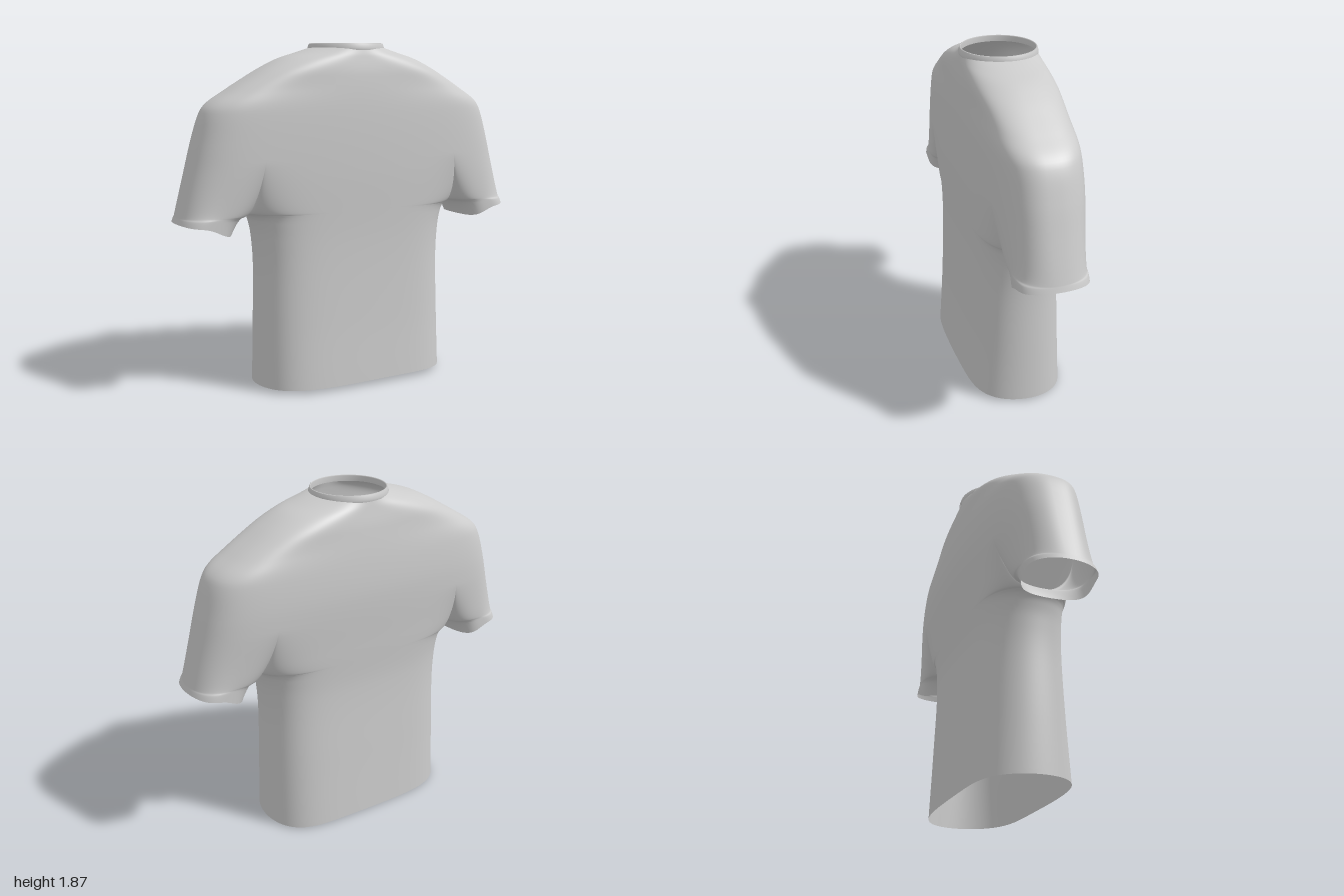
import * as THREE from 'three';
import { mergeVertices } from 'three/addons/utils/BufferGeometryUtils.js';

const { lerp, smoothstep } = THREE.MathUtils;
const ARMPIT = 0.975, SPLIT = 0.62, SLEEVE_X = 0.99, SLEEVE_DEPTH = 0.187;
const BODY_N = 56, SLEEVE_N = 28;

// Smooth curve through [position, value] pairs
function curve(pts) {
  const slope = (i) => {
    const a = pts[Math.max(i - 1, 0)], b = pts[Math.min(i + 1, pts.length - 1)];
    return (b[1] - a[1]) / (b[0] - a[0]);
  };
  return (v) => {
    let i = 0;
    while (i < pts.length - 2 && v > pts[i + 1][0]) i++;
    const [x0, y0] = pts[i], [x1, y1] = pts[i + 1], h = x1 - x0;
    const t = Math.min(1, Math.max(0, (v - x0) / h)), t2 = t * t, t3 = t2 * t;
    return (2 * t3 - 3 * t2 + 1) * y0 + (t3 - 2 * t2 + t) * h * slope(i)
      + (3 * t2 - 2 * t3) * y1 + (t3 - t2) * h * slope(i + 1);
  };
}

// Chest and back depth by height
const frontDepth = curve([[0, 0.275], [0.4, 0.25], [0.8, 0.236], [1.2, 0.241], [1.5, 0.236], [1.7, 0.222], [1.8, 0.206], [1.845, 0.195]]);
const backDepth = curve([[0, 0.268], [0.4, 0.25], [0.8, 0.237], [1.05, 0.252], [1.33, 0.27], [1.5, 0.264], [1.7, 0.24], [1.8, 0.22], [1.845, 0.21]]);
const round = (u, p, e) => Math.pow(Math.max(0, 1 - Math.pow(Math.min(1, Math.abs(u)), p)), e);

// Points across a span from +x to -x, denser at both ends
const span = (from, to, n) => Array.from({ length: n + 1 }, (_, i) =>
  lerp(from, to, (1 - Math.cos((Math.PI * i) / n)) / 2));

// Closed ring: along the front to -x, back along the rear to +x
function ring(xs, depth, height) {
  const front = xs.map((x, i) => {
    const end = i === 0 || i === xs.length - 1;
    const z = end ? 0 : depth(x, 1);
    return new THREE.Vector3(x, height(x, z), z);
  });
  const back = xs.slice(1, -1).reverse().map((x) => {
    const z = -depth(x, -1);
    return new THREE.Vector3(x, height(x, z), z);
  });
  return [...front, ...back];
}

// Skin between rings listed from bottom to top
function loft(rings, out) {
  for (let j = 0; j < rings.length - 1; j++) {
    const n = rings[j].length;
    for (let i = 0; i < n; i++) {
      const k = (i + 1) % n;
      const a = rings[j][i], b = rings[j][k], c = rings[j + 1][k], d = rings[j + 1][i];
      for (const p of [a, d, c, a, c, b]) out.push(p.x, p.y, p.z);
    }
  }
}

const torsoDepth = (y, side) => (side > 0 ? frontDepth(y) : backDepth(y));
const bodyDepth = (x, y, side, w, hw) =>
  torsoDepth(y, side) * (1 - 0.25 * (x / hw) ** 2) * round(x / w, 6, 0.5);
const sleeveDepth = (x, inner, outer) =>
  SLEEVE_DEPTH * round((2 * Math.abs(x) - inner - outer) / (outer - inner), 3, 0.5);

// Torso below the armpits
function torsoRings() {
  const side = new THREE.SplineCurve([[0.563, 0], [0.557, 0.3], [0.551, 0.65], [0.562, 0.83], [0.58, 0.92], [0.598, 0.957], [SPLIT, ARMPIT]]
    .map((p) => new THREE.Vector2(...p)));
  return Array.from({ length: 41 }, (_, j) => {
    const { x: w, y } = side.getPoint(j / 40);
    const hem = Math.max(0, 1 - y / 0.3);
    return ring(span(w, -w, BODY_N), (x, s) => bodyDepth(x, y, s, w, SLEEVE_X),
      (x, z) => y + hem * (0.012 + 0.04 * z + 0.003 * Math.sin(x * 7)));
  });
}

// Chest, shoulders and upper sleeves in one ring, pinched above the armpits
function upperRings() {
  const outline = new THREE.SplineCurve([[SLEEVE_X, ARMPIT], [0.965, 1.07], [0.93, 1.2], [0.89, 1.35], [0.845, 1.49], [0.8, 1.555], [0.7, 1.62],
    [0.6, 1.68], [0.5, 1.738], [0.4, 1.787], [0.3, 1.818], [0.205, 1.846]].map((p) => new THREE.Vector2(...p)));
  return Array.from({ length: 81 }, (_, j) => {
    const { x: hw, y } = outline.getPointAt(Math.pow(j / 80, 1.4));
    const split = (SPLIT * hw) / SLEEVE_X;
    const top = smoothstep(y, 1.62, 1.845);
    const pinch = Math.pow(1 - Math.sqrt(Math.min(1, Math.max(0, (y - ARMPIT) / 0.28))), 1.5);
    const xs = [...span(hw, split, SLEEVE_N), ...span(split, -split, BODY_N).slice(1), ...span(-split, -hw, SLEEVE_N).slice(1)];
    const depth = (x, s) => {
      const u = x / hw;
      const whole = torsoDepth(y, s) * (1 - 0.25 * (1 - top) * u * u) * round(u, lerp(10, 2, top), lerp(0.4, 0.5, top));
      const parted = Math.abs(x) < split ? bodyDepth(x, y, s, split, hw) : sleeveDepth(x, split, hw);
      return lerp(whole, parted, pinch);
    };
    return ring(xs, depth, () => y);
  });
}

// Sleeve end, from its wavy hem up to the armpit
function sleeveRings(side) {
  return Array.from({ length: 11 }, (_, j) => {
    const t = 1 - j / 10;
    const inner = SPLIT + 0.09 * Math.sqrt(t), outer = SLEEVE_X + 0.01 * t;
    const xs = side > 0 ? span(outer, inner, SLEEVE_N) : span(-inner, -outer, SLEEVE_N);
    return ring(xs, (x) => sleeveDepth(x, inner, outer), (x) => {
      const u = (Math.abs(x) - inner) / (outer - inner);
      return lerp(ARMPIT, 0.882 + 0.066 * smoothstep(u, 0, 1) - 0.006 * Math.sin(u * 9), t);
    });
  });
}

export function createModel() {
  const group = new THREE.Group();
  group.name = 'tShirt';
  const material = new THREE.MeshStandardMaterial({ color: 0xcccccc, side: THREE.DoubleSide });

  // Fabric: all sections welded into one smooth skin
  const pos = [];
  loft(torsoRings(), pos);
  loft(upperRings(), pos);
  for (const side of [1, -1]) loft(sleeveRings(side), pos);
  let geometry = new THREE.BufferGeometry();
  geometry.setAttribute('position', new THREE.Float32BufferAttribute(pos, 3));
  geometry = mergeVertices(geometry, 1e-5);
  geometry.computeVertexNormals();
  const shirt = new THREE.Mesh(geometry, material);
  shirt.name = 'shirtBody';
  group.add(shirt);

  // Neckband
  const band = [[0.209, 1.832], [0.211, 1.844], [0.204, 1.866], [0.2, 1.869], [0.197, 1.864], [0.198, 1.835]]
    .map((p) => new THREE.Vector2(...p));
  const collar = new THREE.Mesh(new THREE.LatheGeometry(band, 64), material);
  collar.name = 'collar';
  collar.position.z = -0.009;
  group.add(collar);
  return group;
}
